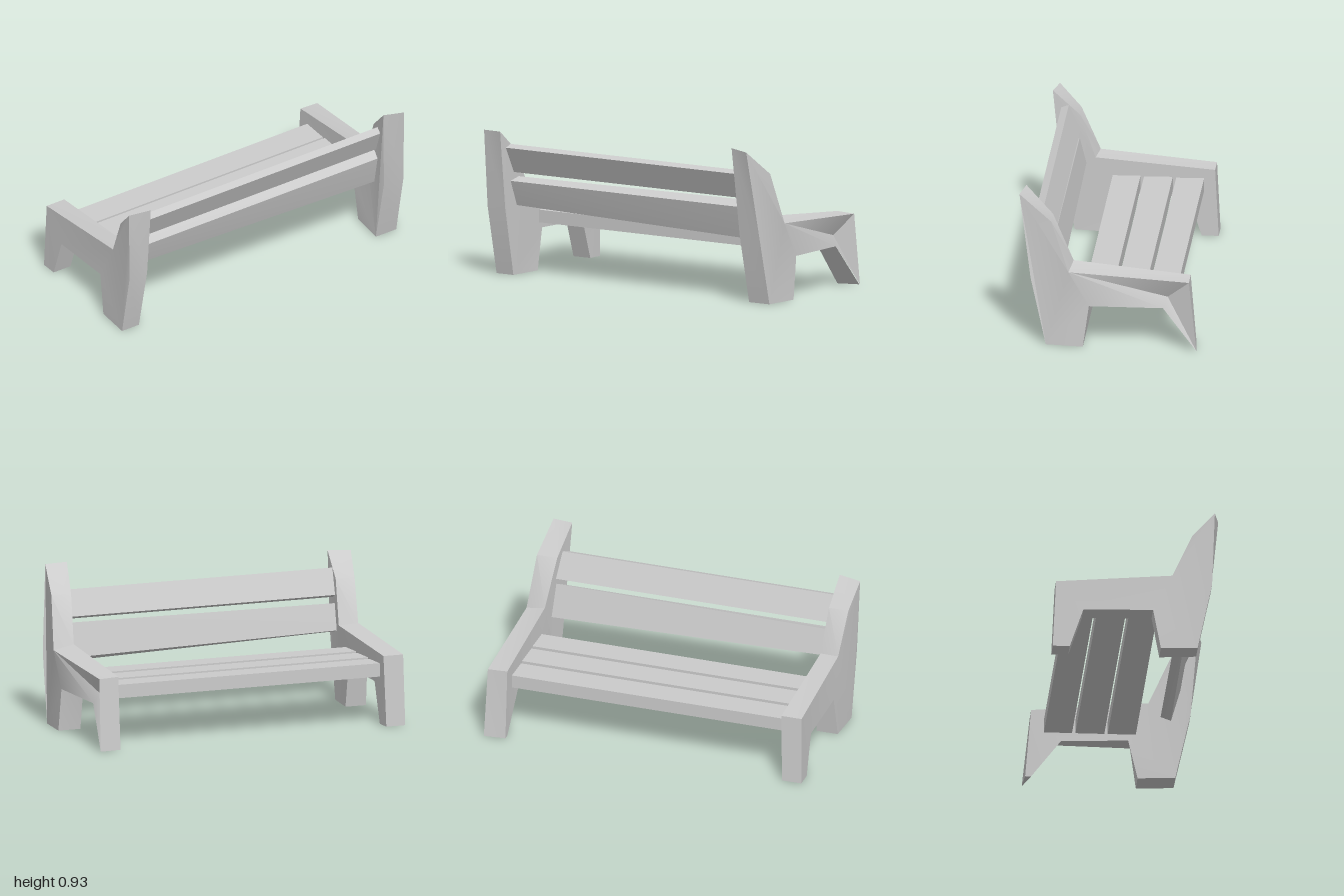
import * as THREE from 'three';
import { toCreasedNormals } from 'three/addons/utils/BufferGeometryUtils.js';

// Solid between two matching outlines. Each point is [z, y, lowX, highX, highZ?, highY?].
// dent = { at: first outline index, point: [x, y, z] } pulls in a corner of the high-x face.
function loft(name, outline, dent) {
  const lo = outline.map(([z, y, x]) => [x, y, z]);
  const hi = outline.map(([z, y, , x, z2 = z, y2 = y]) => [x, y2, z2]);
  const pos = [];
  const tri = (a, b, c) => pos.push(...a, ...b, ...c);
  const cap = (pts, flip) => {
    const contour = pts.map((p) => new THREE.Vector2(p[2], p[1]));
    for (const [a, b, c] of THREE.ShapeUtils.triangulateShape(contour, [])) {
      if (flip) tri(pts[a], pts[c], pts[b]);
      else tri(pts[a], pts[b], pts[c]);
    }
  };

  cap(lo, false);
  if (dent) {
    const { at, point } = dent;
    cap([...hi.slice(0, at), point, ...hi.slice(at + 3)], true);
    for (const [i, j] of [[at - 1, at], [at, at + 1], [at + 1, at + 3]]) tri(hi[i], point, hi[j]);
  } else cap(hi, true);

  outline.forEach((_, i) => {
    const j = (i + 1) % outline.length;
    tri(hi[i], hi[j], lo[j]);
    tri(hi[i], lo[j], lo[i]);
  });

  const geometry = new THREE.BufferGeometry();
  geometry.setAttribute('position', new THREE.Float32BufferAttribute(pos, 3));
  const mesh = new THREE.Mesh(
    toCreasedNormals(geometry, 0.5),
    new THREE.MeshStandardMaterial({ color: 0xcccccc })
  );
  mesh.name = name;
  return mesh;
}

export function createModel() {
  const bench = new THREE.Group();
  bench.name = 'bench';

  // Left end support: tall back post, arm and two legs, with a pinched front corner
  bench.add(loft('leftEndSupport', [
    [0.495, 0.93, 0.79, 0.915, 0.525, 0.92], // post top
    [0.335, 0.77, 0.83, 0.955],
    [0.21, 0.495, 0.865, 0.985, 0.23, 0.465], // post meets arm
    [-0.48, 0.43, 0.87, 0.99, -0.48, 0.425], // arm front
    [-0.515, 0, 0.87, 1.0, -0.525, 0], // front foot
    [-0.48, 0, 0.87, 0.998, -0.52, 0],
    [-0.305, 0.23, 0.86, 0.965, -0.325, 0.25], // arm underside
    [0.09, 0.245, 0.855, 0.985, 0.11, 0.255],
    [0.145, 0, 0.85, 0.99], // rear foot
    [0.365, 0, 0.825, 0.97],
    [0.455, 0.41, 0.82, 0.96],
  ], { at: 3, point: [0.93, 0.31, -0.35] }));

  // Right end support: lower post that leans outward
  bench.add(loft('rightEndSupport', [
    [0.46, 0.865, -1.0, -0.865, 0.49, 0.87],
    [0.33, 0.73, -0.97, -0.85],
    [0.215, 0.48, -0.945, -0.83, 0.235, 0.47],
    [-0.47, 0.42, -0.945, -0.82],
    [-0.49, 0, -0.95, -0.83],
    [-0.39, 0, -0.95, -0.83],
    [-0.31, 0.24, -0.95, -0.83],
    [0.1, 0.25, -0.955, -0.835],
    [0.145, 0, -0.965, -0.835],
    [0.36, 0, -0.98, -0.86],
    [0.445, 0.41, -0.985, -0.86],
  ]));

  // Three flat seat slats
  [[-0.405, -0.24], [-0.22, -0.05], [-0.03, 0.135]].forEach(([front, rear], i) => {
    bench.add(loft(`seatSlat${i + 1}`, [
      [rear, 0.36, -0.84, 0.88],
      [front, 0.365, -0.84, 0.88],
      [front, 0.285, -0.84, 0.88],
      [rear, 0.285, -0.84, 0.88],
    ]));
  });

  // Two leaning backrest slats
  bench.add(loft('lowerBackSlat', [
    [0.395, 0.565, -0.87, 0.85],
    [0.33, 0.585, -0.87, 0.85, 0.33, 0.6],
    [0.29, 0.43, -0.87, 0.85, 0.28, 0.4],
    [0.34, 0.415, -0.87, 0.85, 0.34, 0.37],
  ]));
  bench.add(loft('upperBackSlat', [
    [0.44, 0.768, -0.87, 0.85],
    [0.395, 0.785, -0.87, 0.85],
    [0.325, 0.635, -0.87, 0.85],
    [0.37, 0.615, -0.87, 0.85],
  ]));

  return bench;
}
